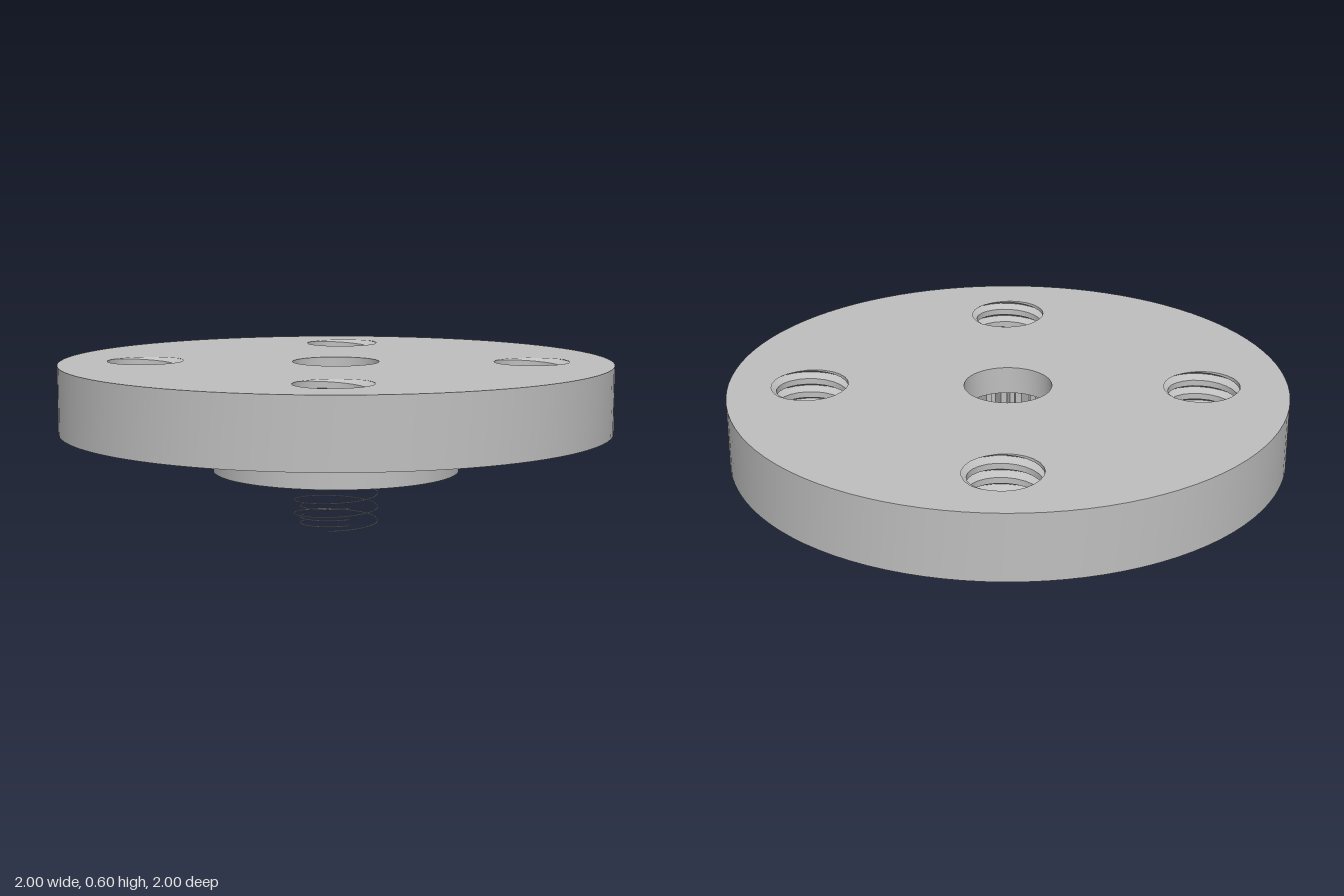
import * as THREE from 'three';
import { toCreasedNormals } from 'three/addons/utils/BufferGeometryUtils.js';

const TAU = Math.PI * 2;
const TOP = 0.6, PLATE = 0.355, HUB = 0.205, SEAT = 0.5;
const PITCH = 0.0525, ROWS = 112, COLS = 24;
const HOLE = 0.495;

// Ring of [x, z] points, counter-clockwise from above, radius given by r(angle)
function ring(n, r, cx = 0, cz = 0) {
  return Array.from({ length: n }, (_, i) => {
    const a = i / n * TAU;
    return [cx + r(a) * Math.cos(a), cz - r(a) * Math.sin(a)];
  });
}

// Wall through stacked rings; inward walls face the axis
function wall(rings, y0, y1, inward) {
  const n = rings[0].length, pos = [], idx = [];
  rings.forEach((pts, j) => {
    const y = y0 + (y1 - y0) * j / (rings.length - 1);
    pts.forEach(([x, z]) => pos.push(x, y, z));
  });
  for (let j = 0; j < rings.length - 1; j++) for (let i = 0; i < n; i++) {
    const a = j * n + i, b = j * n + (i + 1) % n, c = b + n, d = a + n;
    if (inward) idx.push(a, c, b, a, d, c);
    else idx.push(a, b, c, a, c, d);
  }
  const g = new THREE.BufferGeometry();
  g.setAttribute('position', new THREE.Float32BufferAttribute(pos, 3));
  g.setIndex(idx);
  return toCreasedNormals(g, 0.5);
}

// Flat face bounded by an outer ring with hole rings, facing up or down
function cap(outer, holes, y, up) {
  const s = up ? -1 : 1;
  const vec = pts => pts.map(([x, z]) => new THREE.Vector2(x, s * z));
  const shape = new THREE.Shape(vec(outer));
  shape.holes = holes.map(h => new THREE.Path(vec(h)));
  return new THREE.ShapeGeometry(shape).rotateX(s * Math.PI / 2).translate(0, y, 0);
}

// V-groove thread radius at an angle and height
function threadRadius(a, y) {
  let u = a / TAU - (y - TOP) / PITCH - 0.25;
  u -= Math.round(u);
  return 0.129 + 0.027 * Math.max(0, 1 - Math.abs(u) * 24 / 7);
}

// Thin coil of wire, rising counter-clockwise
function coil(radius, t0, t1, y0, y1, steps) {
  const pts = Array.from({ length: steps + 1 }, (_, i) => {
    const k = i / steps, a = (t0 + (t1 - t0) * k) * TAU;
    return new THREE.Vector3(radius * Math.cos(a), y0 + (y1 - y0) * k, -radius * Math.sin(a));
  });
  return new THREE.TubeGeometry(new THREE.CatmullRomCurve3(pts), steps * 2, 0.002, 5);
}

export function createModel() {
  const model = new THREE.Group();
  const metal = new THREE.MeshStandardMaterial({ color: 0xbfbfbf });
  metal.name = 'grey metal';
  const add = (name, geometry) => {
    const m = new THREE.Mesh(geometry, metal);
    m.name = name;
    model.add(m);
  };

  const rim = ring(96, () => 1);
  const hub = ring(72, () => 0.447);
  const bore = ring(48, () => 0.157);

  // Splined socket outline: 25 narrow slots between flat lands
  const spline = [];
  for (let i = 0; i < 25; i++) {
    for (const [f, r] of [[0.0, 0.22], [0.4, 0.22], [0.58, 0.287], [0.82, 0.287]]) {
      const a = (i + f) / 25 * TAU;
      spline.push([r * Math.cos(a), -r * Math.sin(a)]);
    }
  }

  // Four threaded holes
  const tops = [], bottoms = [];
  for (const sx of [-1, 1]) for (const sz of [-1, 1]) {
    const rings = Array.from({ length: ROWS + 1 }, (_, j) => {
      const y = PLATE + (TOP - PLATE) * j / ROWS;
      return ring(COLS, a => threadRadius(a, y), sx * HOLE, sz * HOLE);
    });
    bottoms.push(rings[0]);
    tops.push(rings[ROWS]);
    add('threadedHole', wall(rings, PLATE, TOP, true));
  }

  // Round plate
  add('plateRim', wall([rim, rim], PLATE, TOP, false));
  add('plateTop', cap(rim, [bore, ...tops], TOP, true));
  add('plateUnderside', cap(rim, [hub, ...bottoms], PLATE, false));
  add('centreBore', wall([bore, bore], SEAT, TOP, true));

  // Hub with splined socket
  add('hubSide', wall([hub, hub], HUB, PLATE, false));
  add('hubFace', cap(hub, [spline], HUB, false));
  add('splineTeeth', wall([spline, spline], HUB, SEAT, true));
  add('socketSeat', cap(ring(48, () => 0.3), [bore], SEAT, false));

  // Fine wire coil below the hub, with short inner arcs at its foot
  add('wireCoil', coil(0.153, -0.15, 3.86, 0.003, HUB, 128));
  for (const y of [0.005, 0.027, 0.068]) {
    add('wireArc', coil(0.13, 0.56, 0.94, y, y + 0.013, 16));
  }
  return model;
}
